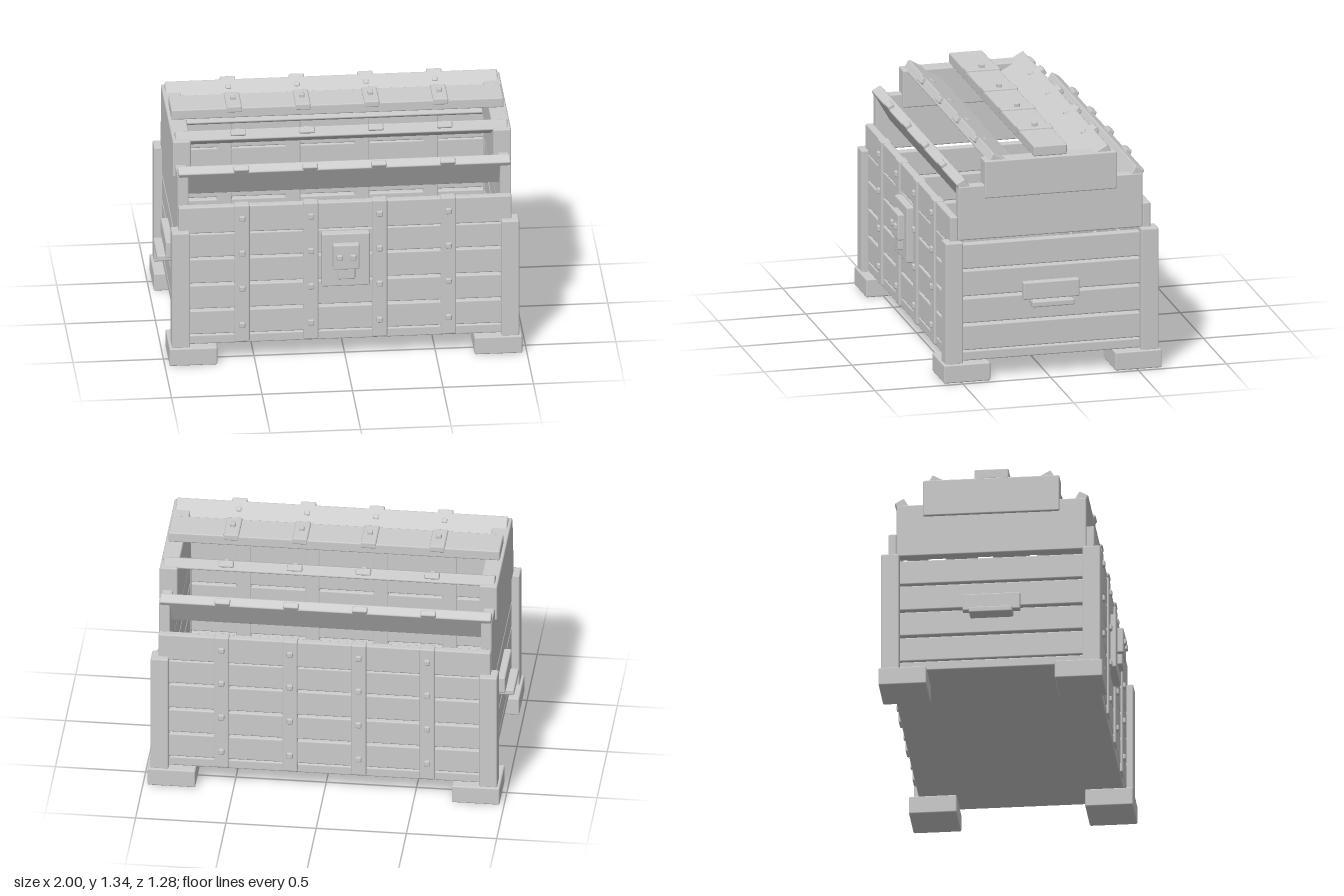
import * as THREE from 'three';
import { RoundedBoxGeometry } from 'three/addons/geometries/RoundedBoxGeometry.js';

const wood = new THREE.MeshStandardMaterial({ color: 0xcccccc });
wood.name = 'plain grey';

// Box with a small bevel, placed by its centre
function box(parent, name, [w, h, d], [x, y, z]) {
  const bevel = Math.min(0.008, Math.min(w, h, d) * 0.25);
  const mesh = new THREE.Mesh(new RoundedBoxGeometry(w, h, d, 1, bevel), wood);
  mesh.name = name;
  mesh.position.set(x, y, z);
  parent.add(mesh);
  return mesh;
}

// Box given by its limits on each axis
function span(parent, name, [x0, x1], [y0, y1], [z0, z1]) {
  return box(parent, name, [Math.abs(x1 - x0), y1 - y0, Math.abs(z1 - z0)],
    [(x0 + x1) / 2, (y0 + y1) / 2, (z0 + z1) / 2]);
}

const strapX = [-0.57, -0.19, 0.19, 0.57];
const rows = [[0.165, 0.308], [0.32, 0.463], [0.475, 0.622], [0.632, 0.775]];

// Walls, posts and feet, symmetric about the local z = 0
function buildBody() {
  const body = new THREE.Group();
  body.name = 'body';
  span(body, 'base', [-0.915, 0.915], [0.105, 0.16], [-0.568, 0.568]);

  for (const s of [1, -1]) {
    // Long walls
    for (const r of rows) span(body, 'longPlank', [-0.918, 0.918], r, [s * 0.525, s * 0.57]);
    span(body, 'rimPlank', [-0.92, 0.92], [0.778, 0.938], [s * 0.525, s * 0.57]);
    // Iron straps with bolts
    for (const x of strapX) {
      span(body, 'strap', [x - 0.042, x + 0.042], [0.115, 0.945], [s * 0.522, s * 0.582]);
      for (const y of [0.22, 0.44, 0.655, 0.865])
        box(body, 'bolt', [0.034, 0.034, 0.03], [x, y, s * 0.581]);
    }
    // End walls and stepped lid ends
    for (const r of rows) span(body, 'endPlank', [s * 0.865, s * 0.915], r, [-0.53, 0.53]);
    span(body, 'lowerLidEnd', [s * 0.86, s * 0.922], [0.8, 1.11], [-0.525, 0.525]);
    span(body, 'upperLidEnd', [s * 0.835, s * 0.935], [1.035, 1.25], [-0.377, 0.377]);
    // Handles
    span(body, 'handlePlate', [s * 0.91, s * 0.955], [0.44, 0.54], [-0.158, 0.162]);
    span(body, 'handleGrip', [s * 0.91, s * 1.0], [0.407, 0.441], [-0.118, 0.122]);
    // Corner posts and feet
    for (const t of [1, -1]) {
      span(body, 'cornerPost', [s * 0.86, s * 0.96], [0.1, 0.8], [t * 0.507, t * 0.607]);
      span(body, 'foot', [s * 0.71, s * 0.975], [0, 0.105], [t * 0.355, t * 0.62]);
    }
  }
  return body;
}

// One lid plank; straps and bolts are shifted along the outward direction of the arch
function lidPlank(angle, y, z) {
  const plank = new THREE.Group();
  plank.name = 'lidPlank';
  plank.position.set(0, y, z);
  plank.rotation.x = -angle;
  const alongArch = (d) => [d * Math.cos(2 * angle), d * Math.sin(2 * angle)];
  box(plank, 'board', [1.836, 0.06, 0.19], [0, 0, 0]);
  const [sy, sz] = alongArch(0.021);
  const [by, bz] = alongArch(0.048);
  for (const x of strapX) {
    box(plank, 'lidStrap', [0.085, 0.038, 0.196], [x, sy, sz]);
    if (Math.abs(angle) < 1) box(plank, 'lidBolt', [0.03, 0.026, 0.03], [x, by, bz]);
  }
  return plank;
}

function buildLid() {
  const lid = new THREE.Group();
  lid.name = 'lid';
  lid.add(lidPlank(0, 1.28, 0));
  for (const s of [1, -1]) {
    lid.add(lidPlank(s * Math.PI / 6, 1.217, s * 0.258));
    lid.add(lidPlank(s * Math.PI / 3, 1.058, s * 0.465));
  }
  return lid;
}

// Front lock with a stepped hasp
function buildLock() {
  const lock = new THREE.Group();
  lock.name = 'lock';
  span(lock, 'lockPlate', [-0.133, 0.133], [0.445, 0.765], [0.54, 0.592]);
  span(lock, 'hasp', [-0.073, 0.073], [0.56, 0.71], [0.56, 0.626]);
  span(lock, 'haspTongue', [-0.05, 0.05], [0.497, 0.575], [0.56, 0.618]);
  for (const s of [1, -1]) box(lock, 'lockBolt', [0.034, 0.034, 0.03], [s * 0.037, 0.635, 0.625]);
  return lock;
}

export function createModel() {
  const chest = new THREE.Group();
  chest.name = 'chest';
  const body = buildBody();
  const lid = buildLid();
  body.position.z = lid.position.z = -0.02;
  chest.add(body, lid, buildLock());
  return chest;
}
